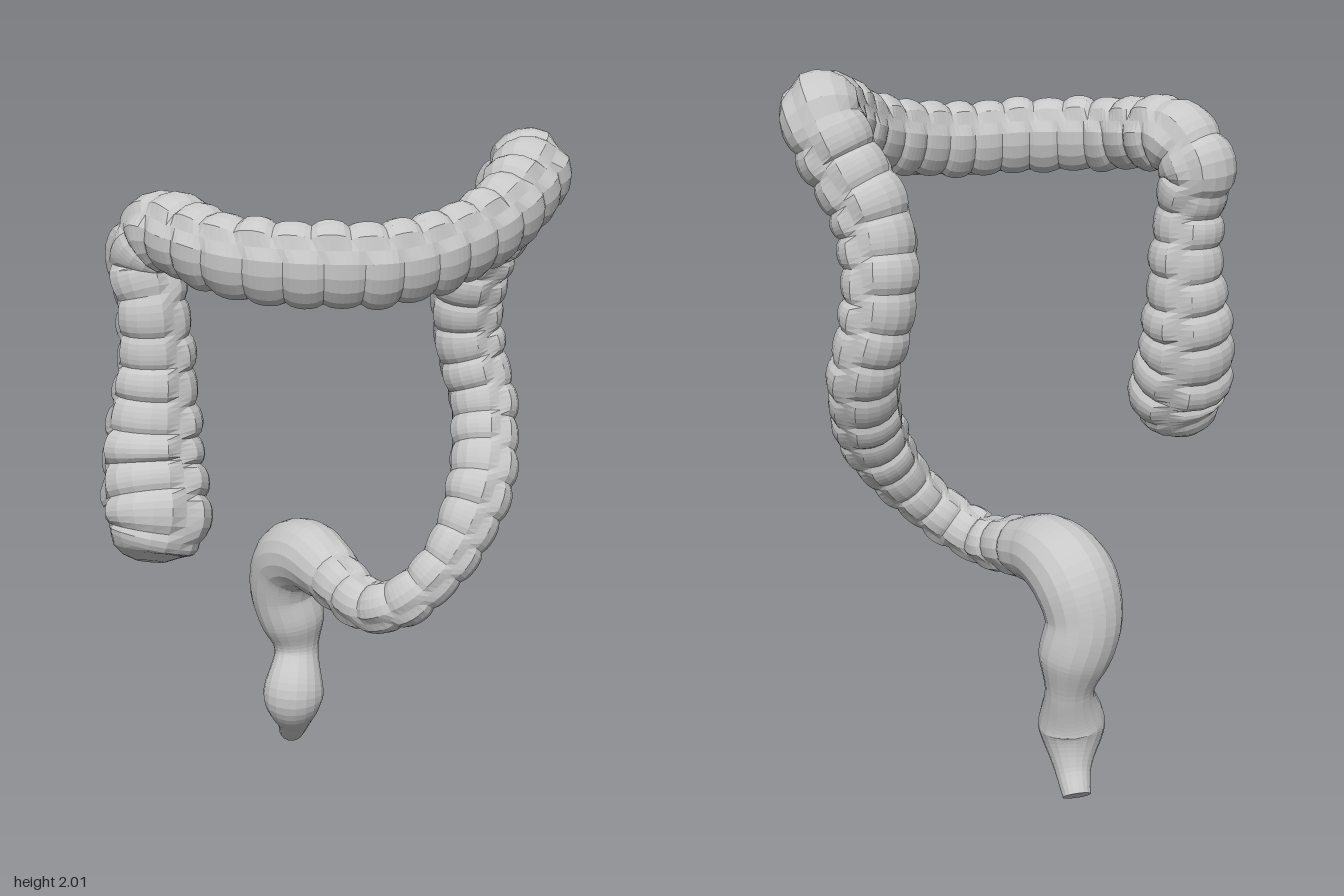
import * as THREE from 'three';

// Centreline stations: x, y, z, radius
const STATIONS = [
  // caecum and ascending part
  [-0.54, 0.885, 0.14, 0.04],
  [-0.535, 0.91, 0.13, 0.105],
  [-0.515, 0.99, 0.115, 0.147],
  [-0.51, 1.16, 0.05, 0.142],
  [-0.49, 1.4, 0.025, 0.11],
  [-0.495, 1.58, 0.025, 0.1],
  // right bend and transverse part
  [-0.505, 1.69, 0, 0.107],
  [-0.465, 1.775, 0.065, 0.108],
  [-0.41, 1.765, 0.18, 0.105],
  [-0.32, 1.745, 0.31, 0.108],
  [-0.12, 1.735, 0.405, 0.11],
  [0.1, 1.735, 0.405, 0.11],
  [0.32, 1.78, 0.315, 0.11],
  [0.45, 1.84, 0.21, 0.115],
  // left bend and descending part
  [0.53, 1.89, 0.1, 0.113],
  [0.545, 1.88, 0.03, 0.113],
  [0.505, 1.78, -0.005, 0.11],
  [0.44, 1.63, -0.06, 0.11],
  [0.435, 1.42, -0.1, 0.104],
  [0.475, 1.2, -0.06, 0.1],
  [0.43, 0.98, 0.055, 0.1],
  // sigmoid part
  [0.31, 0.785, 0.115, 0.08],
  [0.2, 0.68, 0.1, 0.078],
  [0.12, 0.635, 0.03, 0.078],
  [0.055, 0.668, -0.12, 0.088],
  // rectum
  [0.005, 0.697, -0.26, 0.108],
  [-0.03, 0.655, -0.355, 0.117],
  [-0.045, 0.55, -0.393, 0.108],
  [-0.02, 0.44, -0.39, 0.102],
  [-0.01, 0.335, -0.382, 0.07],
  [-0.03, 0.2, -0.343, 0.096],
  [-0.02, 0.09, -0.385, 0.055],
  [-0.015, 0.025, -0.437, 0.04],
];

const LOBE = 6;          // sides between lengthwise bands
const SIDES = 3 * LOBE;
const POUCHES = 54;      // bulges along the whole path
const STEPS = 6;         // rings per bulge
const RINGS = POUCHES * STEPS;
const { lerp, smoothstep } = THREE.MathUtils;

// Every ring of the tube: its centre and the points around it
function buildRings() {
  const path = new THREE.CatmullRomCurve3(STATIONS.map(([x, y, z]) => new THREE.Vector3(x, y, z)));
  const radii = new THREE.CatmullRomCurve3(
    STATIONS.map((s) => new THREE.Vector3(s[3], 0, 0)), false, 'catmullrom', 0.5);
  path.arcLengthDivisions = 1000;
  const { normals, binormals } = path.computeFrenetFrames(RINGS);
  const rings = [];
  for (let i = 0; i <= RINGS; i++) {
    const t = path.getUtoTmapping(i / RINGS);
    const centre = path.getPoint(t);
    const radius = radii.getPoint(t).x;
    // the tube is slightly shallow, and tall and narrow where it crosses the front
    const narrow = smoothstep(centre.z, 0.1, 0.4);
    const size = new THREE.Vector3(lerp(1, 0.64, narrow), 1, lerp(0.9, 0.64, narrow));
    // the pouches fade out towards the smooth rectum and the blind end
    const fade = centre.y < 0.9 ? 1 - smoothstep(-centre.z, 0.05, 0.24) : 1;
    const strength = fade * smoothstep(i, 0, 8);
    const points = [];
    for (let j = 0; j < SIDES; j++) {
      const a = (j / SIDES) * Math.PI * 2;
      // each row of pouches is staggered by one ring and slightly uneven
      const lobe = Math.floor(j / LOBE);
      const step = i + lobe;
      const bulge = Math.pow(Math.sin(Math.PI * (step % STEPS) / STEPS), 0.6);
      const uneven = 0.03 * Math.sin(Math.floor(step / STEPS) * 2.7 + lobe * 4.1);
      const dent = j % LOBE === 0 ? 0.09 : 0.1 * (1 - bulge) - (0.025 + uneven) * bulge;
      points.push(normals[i].clone().multiplyScalar(Math.cos(a))
        .addScaledVector(binormals[i], Math.sin(a))
        .multiply(size).multiplyScalar(radius * (1 - strength * dent)).add(centre));
    }
    rings.push({ centre, points });
  }
  return rings;
}

// Skin between two rings, with caps at the two ends of the path
function skin(rings, from, to) {
  const positions = [];
  const index = [];
  for (let i = from; i <= to; i++) {
    for (const p of rings[i].points) positions.push(p.x, p.y, p.z);
  }
  const rows = to - from;
  for (let i = 0; i < rows; i++) {
    for (let j = 0; j < SIDES; j++) {
      const a = i * SIDES + j, b = i * SIDES + (j + 1) % SIDES;
      index.push(a, b, b + SIDES, a, b + SIDES, a + SIDES);
    }
  }
  const cap = (ring, row, flip) => {
    const pole = positions.length / 3;
    positions.push(ring.centre.x, ring.centre.y, ring.centre.z);
    for (let j = 0; j < SIDES; j++) {
      const a = row * SIDES + j, b = row * SIDES + (j + 1) % SIDES;
      index.push(pole, flip ? b : a, flip ? a : b);
    }
  };
  if (from === 0) cap(rings[from], 0, true);
  if (to === RINGS) cap(rings[to], rows, false);
  const geometry = new THREE.BufferGeometry();
  geometry.setAttribute('position', new THREE.Float32BufferAttribute(positions, 3));
  geometry.setIndex(index);
  const flat = geometry.toNonIndexed();
  flat.computeVertexNormals();
  return flat;
}

export function createModel() {
  const group = new THREE.Group();
  group.name = 'largeIntestine';
  const tissue = new THREE.MeshStandardMaterial({ color: 0xc8c8c8, flatShading: true });
  tissue.name = 'pale grey';
  const rings = buildRings();

  // First ring after a start ring whose centre passes a test
  const find = (start, test) => {
    let i = start;
    while (i < RINGS - 1 && !test(rings[i].centre)) i++;
    return i;
  };
  const caecumEnd = find(0, (c) => c.y > 1.1);
  const ascendingEnd = find(caecumEnd, (c) => c.z > 0.1 && c.y > 1.6);
  const transverseEnd = find(ascendingEnd, (c) => c.x > 0.52);
  const descendingEnd = find(transverseEnd, (c) => c.y < 0.85);
  const sigmoidEnd = find(descendingEnd, (c) => c.z < -0.22);

  const cuts = [0, caecumEnd, ascendingEnd, transverseEnd, descendingEnd, sigmoidEnd, RINGS];
  ['caecum', 'ascendingColon', 'transverseColon', 'descendingColon', 'sigmoidColon', 'rectum']
    .forEach((name, n) => {
      const mesh = new THREE.Mesh(skin(rings, cuts[n], cuts[n + 1]), tissue);
      mesh.name = name;
      group.add(mesh);
    });
  return group;
}
